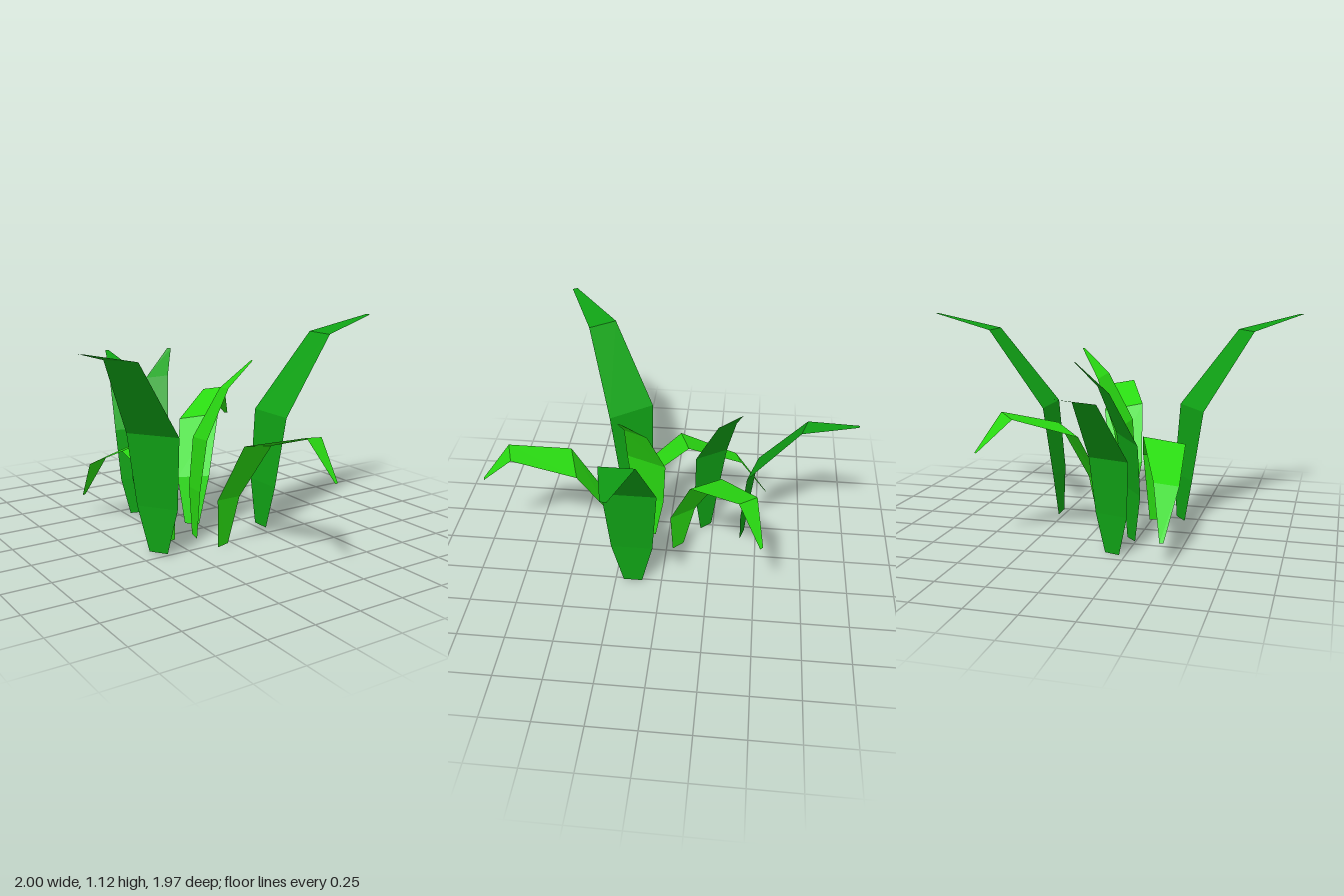
import * as THREE from 'three';

const darkGreen = new THREE.MeshStandardMaterial({ color: 0x10a215, side: THREE.DoubleSide, flatShading: true });
darkGreen.name = 'dark green';
const lightGreen = new THREE.MeshStandardMaterial({ color: 0x2adc12, side: THREE.DoubleSide, flatShading: true });
lightGreen.name = 'light green';

// Blade shapes, root to tip; each row is [outward, sideways, height, width, roll]
const shapes = {
  tall: [
    [0, 0, 0.01, 0.1, 0], [0.01, 0, 0.25, 0.22, 0], [0.055, 0, 0.63, 0.28, 0],
    [0.38, 0, 1.04, 0.17, 0], [0.73, 0, 1.12, 0.03, 0],
  ],
  medium: [
    [0, 0, 0, 0.08, 0], [0.01, 0, 0.2, 0.177, 0], [0.04, 0, 0.485, 0.22, 0],
    [0.297, 0.026, 0.8, 0.13, 0], [0.572, 0.046, 0.86, 0.02, 0],
  ],
  upright: [
    [0, 0, 0.01, 0.08, 0], [0, 0, 0.27, 0.177, 0.01], [0.03, 0, 0.54, 0.22, 0.015],
    [0.16, -0.008, 0.8, 0.126, 0.01], [0.3, -0.038, 0.94, 0.02, 0],
  ],
  arched: [
    [0, 0, 0.01, 0.08, 0], [0.036, 0, 0.27, 0.177, 0.01], [0.21, 0.008, 0.57, 0.22, 0.02],
    [0.541, -0.01, 0.67, 0.126, 0.01], [0.695, -0.053, 0.49, 0.02, 0],
  ],
  drooping: [
    [0, 0, 0.02, 0.08, 0], [0.04, 0.007, 0.385, 0.177, 0.012], [0.21, 0.018, 0.51, 0.22, 0.02],
    [0.528, 0.005, 0.36, 0.126, 0.01], [0.695, -0.028, 0.12, 0.02, 0],
  ],
};

// name, shape, material, root x, root z, outward direction x, z
const blades = [
  ['leftBlade', 'tall', darkGreen, 0.27, 0.155, 1, 0],
  ['rightFrontBlade', 'tall', darkGreen, -0.406, 0.213, -0.807, 0.59],
  ['backBlade', 'medium', darkGreen, -0.181, -0.422, 0.27, -0.96],
  ['innerBackBlade', 'upright', darkGreen, -0.227, -0.21, 0.73, -0.68],
  ['innerFrontBlade', 'upright', lightGreen, -0.13, 0.113, 0.974, 0.226],
  ['leftBackBlade', 'arched', lightGreen, -0.035, -0.065, 0.707, -0.707],
  ['frontBlade', 'arched', lightGreen, -0.075, 0.3, 0.295, 0.955],
  ['rightBackBlade', 'drooping', lightGreen, -0.29, 0.127, -0.275, -0.96],
];

// A folded strip with two vertices per row
function bladeGeometry(rows, x, z, ox, oz) {
  const points = [];
  const index = [];
  rows.forEach(([out, side, y, width, roll], i) => {
    for (const s of [-1, 1]) {
      const across = side + (s * width) / 2;
      points.push(x + ox * out + oz * across, y - s * roll, z + oz * out - ox * across);
    }
    if (i > 0) {
      const a = 2 * i - 2;
      index.push(a, a + 2, a + 1, a + 1, a + 2, a + 3);
    }
  });
  const geometry = new THREE.BufferGeometry();
  geometry.setAttribute('position', new THREE.Float32BufferAttribute(points, 3));
  geometry.setIndex(index);
  const flat = geometry.toNonIndexed();
  flat.computeVertexNormals();
  return flat;
}

export function createModel() {
  const plant = new THREE.Group();
  plant.name = 'grassTuft';
  for (const [name, shape, material, x, z, ox, oz] of blades) {
    const blade = new THREE.Mesh(bladeGeometry(shapes[shape], x, z, ox, oz), material);
    blade.name = name;
    plant.add(blade);
  }
  return plant;
}
